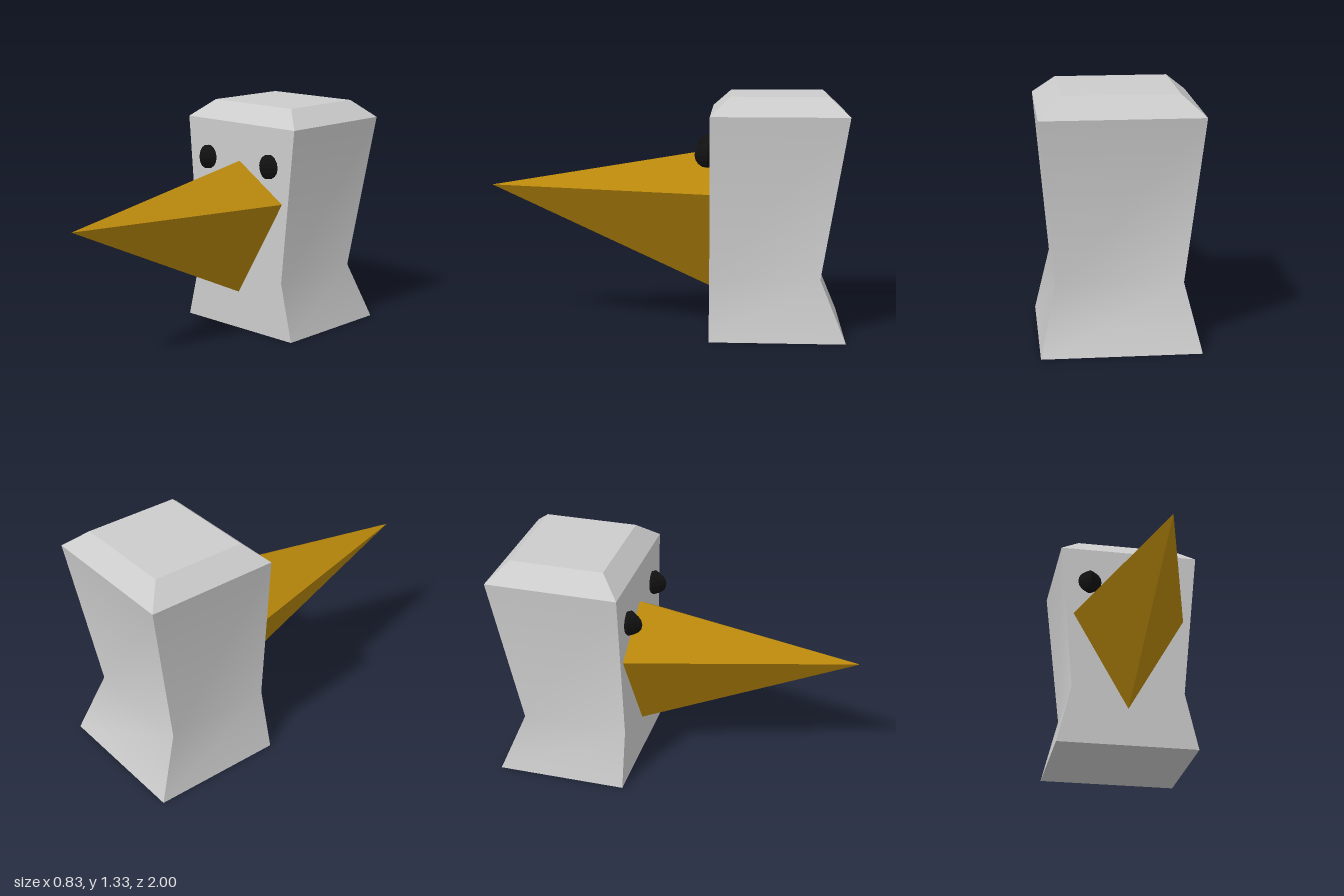
import * as THREE from 'three';
import { toCreasedNormals } from 'three/addons/utils/BufferGeometryUtils.js';
import { ConvexGeometry } from 'three/addons/geometries/ConvexGeometry.js';

const FRONT = -0.255; // z of the flat face

// Joins four-cornered rings, bottom to top, and caps both ends.
function loft(rings) {
  const positions = [];
  const quad = (a, b, c, d) => [a, b, c, a, c, d].forEach((p) => positions.push(...p));
  for (let i = 0; i < rings.length - 1; i++) {
    for (let j = 0; j < 4; j++) {
      const k = (j + 1) % 4;
      quad(rings[i][j], rings[i][k], rings[i + 1][k], rings[i + 1][j]);
    }
  }
  quad(...rings[rings.length - 1]);
  quad(...[...rings[0]].reverse());
  const geometry = new THREE.BufferGeometry();
  geometry.setAttribute('position', new THREE.Float32BufferAttribute(positions, 3));
  return toCreasedNormals(geometry, 0.6);
}

export function createModel() {
  const model = new THREE.Group();
  model.name = 'birdHead';
  const add = (name, geometry, color, flatShading = true) => {
    const mesh = new THREE.Mesh(geometry, new THREE.MeshStandardMaterial({ color, flatShading }));
    mesh.name = name;
    model.add(mesh);
    return mesh;
  };

  // Head and neck: [height, half width, front z, back z]
  const sections = [
    [0, 0.413, FRONT, -1],
    [0.338, 0.332, FRONT, -0.86],
    [1.23, 0.413, FRONT, -1],
    [1.33, 0.296, -0.362, -0.893],
  ];
  const rings = sections.map(([y, w, f, b]) => [[-w, y, f], [w, y, f], [w, y, b], [-w, y, b]]);
  add('headAndNeck', loft(rings), 0xcccccc, false);

  // Beak: a kite-shaped base drawn out to a point
  const beak = [[0, 0.8, 1], [0, 1.01, FRONT], [0.33, 0.8, FRONT], [0, 0.222, FRONT], [-0.33, 0.8, FRONT]];
  add('beak', new ConvexGeometry(beak.map((p) => new THREE.Vector3(...p))), 0xb8860b);

  // Eyes, half sunk into the face
  for (const [name, side] of [['leftEye', 1], ['rightEye', -1]]) {
    const eye = add(name, new THREE.SphereGeometry(0.07, 4, 8), 0x111111);
    eye.position.set(side * 0.239, 1.007, -0.238);
  }
  return model;
}
